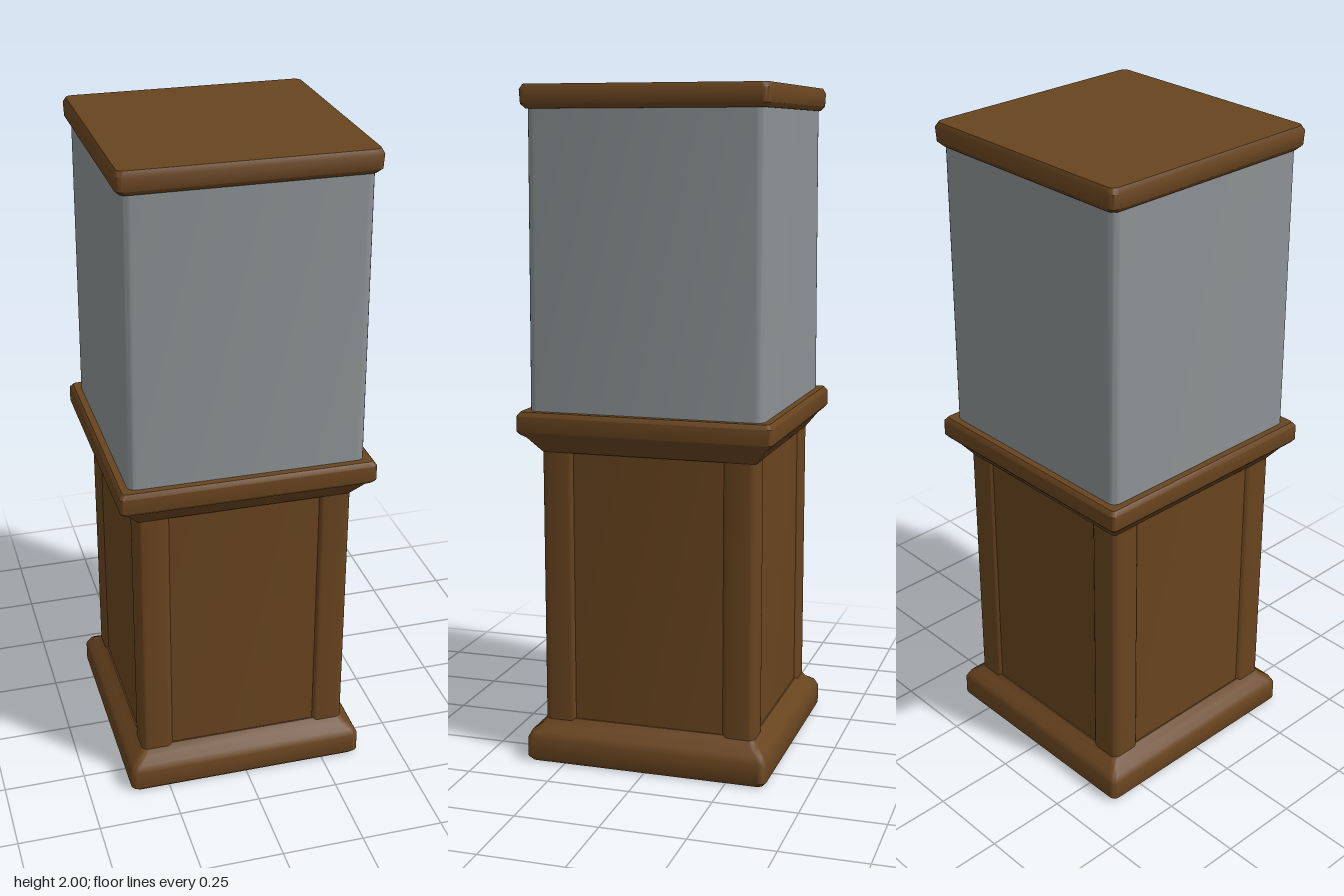
import * as THREE from 'three';
import { toCreasedNormals } from 'three/addons/utils/BufferGeometryUtils.js';

const STEPS = 5; // segments per rounded corner

// One square ring with rounded corners at height y
function ring(y, half, radius) {
  const points = [];
  for (let c = 0; c < 4; c++) {
    const mid = Math.PI / 4 + c * Math.PI / 2;
    const cx = Math.sign(Math.cos(mid)) * (half - radius);
    const cz = Math.sign(Math.sin(mid)) * (half - radius);
    for (let s = 0; s <= STEPS; s++) {
      const a = (c + s / STEPS) * Math.PI / 2;
      points.push([cx + radius * Math.cos(a), y, cz + radius * Math.sin(a)]);
    }
  }
  return points;
}

// Closed solid through a stack of [y, half width] rings
function squareLoft(profile, radius) {
  const n = 4 * (STEPS + 1);
  const positions = profile.flatMap(([y, half]) => ring(y, half, radius).flat());
  const index = [];
  for (let r = 0; r < profile.length - 1; r++) {
    for (let i = 0; i < n; i++) {
      const a = r * n + i, b = r * n + (i + 1) % n;
      index.push(a, a + n, b, b, a + n, b + n);
    }
  }
  const last = (profile.length - 1) * n;
  for (let i = 1; i < n - 1; i++) {
    index.push(0, i, i + 1);
    index.push(last, last + i + 1, last + i);
  }
  const geometry = new THREE.BufferGeometry();
  geometry.setAttribute('position', new THREE.Float32BufferAttribute(positions, 3));
  geometry.setIndex(index);
  return toCreasedNormals(geometry, Math.PI / 4.5);
}

export function createModel() {
  const model = new THREE.Group();
  model.name = 'displayPedestal';

  const wood = new THREE.MeshStandardMaterial({ color: 0x68441f });
  wood.name = 'brown wood';
  const pane = new THREE.MeshStandardMaterial({ color: 0x8c9193 });
  pane.name = 'grey glass';

  const add = (name, geometry, material) => {
    const mesh = new THREE.Mesh(geometry, material);
    mesh.name = name;
    model.add(mesh);
    return mesh;
  };

  // Foot with softened edges and a sloped upper lip
  add('foot', squareLoft([
    [0, 0.36], [0.012, 0.37], [0.07, 0.37], [0.09, 0.36], [0.105, 0.338], [0.13, 0.32],
  ], 0.02), wood);

  // Cabinet body, set just behind the corner posts
  add('cabinetBody', squareLoft([[0.1, 0.316], [0.98, 0.316]], 0.02), wood);

  // Rounded corner posts
  for (const x of [-1, 1]) {
    for (const z of [-1, 1]) {
      const post = add('cornerPost', squareLoft([[0.1, 0.05], [0.97, 0.05]], 0.02), wood);
      post.position.set(x * 0.275, 0, z * 0.275);
    }
  }

  // Collar moulding that carries the glass box
  add('collar', squareLoft([
    [0.945, 0.325], [0.955, 0.333], [0.99, 0.36], [1.0, 0.374], [1.01, 0.382],
    [1.055, 0.382], [1.068, 0.372],
  ], 0.012), wood);

  // Glass box
  add('glassBox', squareLoft([[1.06, 0.352], [1.95, 0.348]], 0.025), pane);

  // Lid
  add('lid', squareLoft([
    [1.932, 0.352], [1.945, 0.364], [1.985, 0.366], [2.0, 0.358],
  ], 0.02), wood);

  return model;
}
